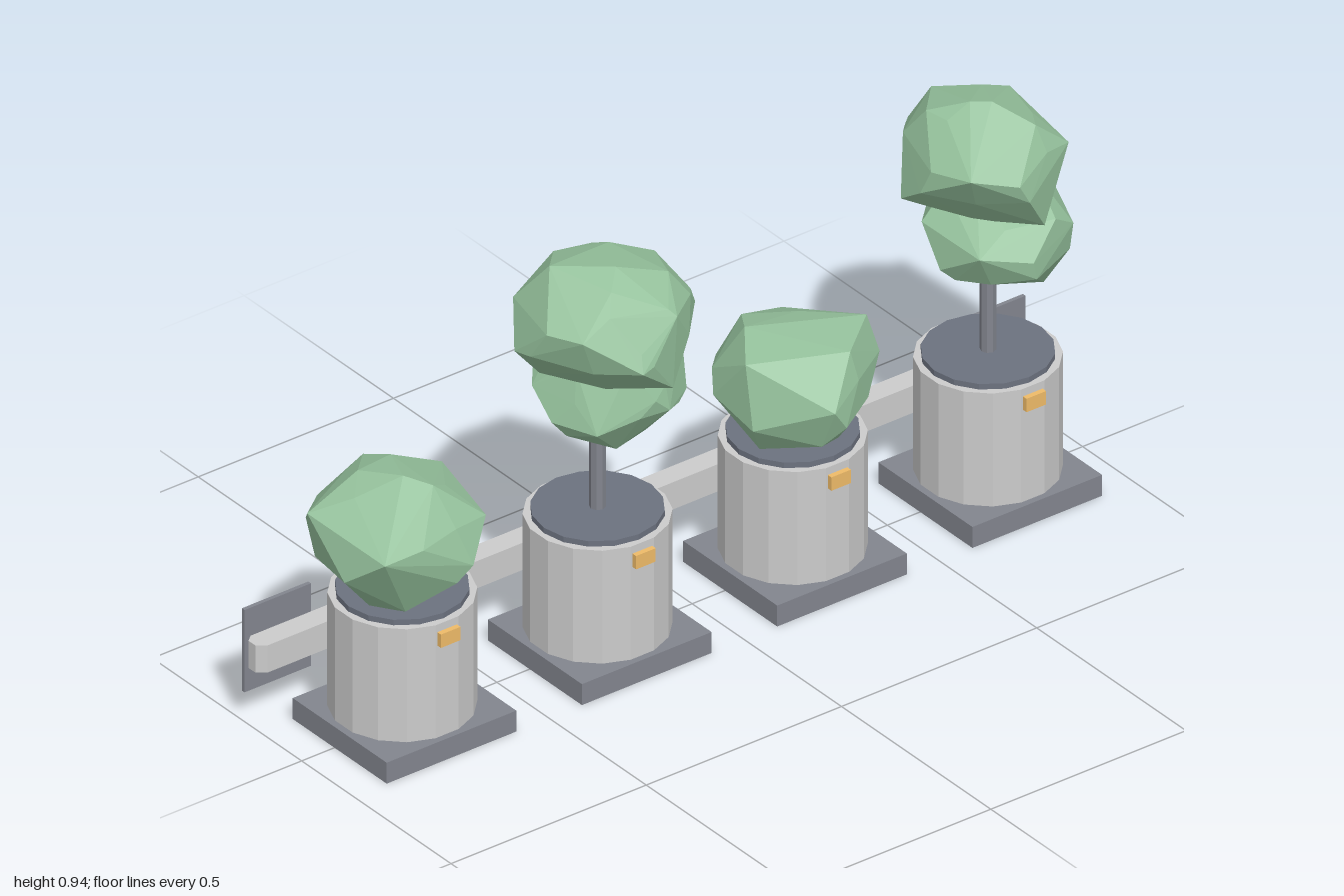
import * as THREE from 'three';
import { ConvexGeometry } from 'three/addons/geometries/ConvexGeometry.js';

const paint = (color) => new THREE.MeshStandardMaterial({ color, flatShading: true });

const mats = {
  rail: paint(0xe6e6e6),
  pot: paint(0xcccccc),
  dark: paint(0x82858e),
  soil: paint(0x6c727f),
  leaf: paint(0x94c09b),
  tag: paint(0xeebb68),
};

function add(parent, name, geometry, material, x = 0, y = 0, z = 0) {
  const mesh = new THREE.Mesh(geometry, material);
  mesh.name = name;
  mesh.position.set(x, y, z);
  parent.add(mesh);
}

// Box given by its lower and upper corners
function box(parent, name, material, [x0, y0, z0], [x1, y1, z1]) {
  const g = new THREE.BoxGeometry(x1 - x0, y1 - y0, z1 - z0);
  add(parent, name, g, material, (x0 + x1) / 2, (y0 + y1) / 2, (z0 + z1) / 2);
}

function seeded(seed) {
  let s = seed;
  return () => (s = (s * 16807) % 2147483647) / 2147483647;
}

// Faceted foliage: hull of a front outline (x, y), a level outline (x, z) and
// a side outline (z, y), staggered about the middle planes, with a rough
// spiral of points that rounds the space between them
function foliage(parent, name, seed, front, level, side) {
  const rand = seeded(seed * 7919 + 17);
  const rise = new THREE.Box2().setFromPoints(front.map(([x, y]) => new THREE.Vector2(x, y)));
  const plan = new THREE.Box2().setFromPoints(level.map(([x, z]) => new THREE.Vector2(x, z)));
  const mid = new THREE.Vector3((rise.min.x + rise.max.x) / 2, (rise.min.y + rise.max.y) / 2, (plan.min.y + plan.max.y) / 2);
  const half = new THREE.Vector3(rise.max.x, rise.max.y, plan.max.y).sub(mid);
  const stagger = (i) => (i % 2 ? 0.25 : -0.25);
  const points = [
    ...front.map(([x, y], i) => new THREE.Vector3(x, y, mid.z + stagger(i) * half.z)),
    ...level.map(([x, z], i) => new THREE.Vector3(x, mid.y + stagger(i) * half.y, z)),
    ...side.map(([z, y], i) => new THREE.Vector3(mid.x + stagger(i) * half.x, y, z)),
  ];
  const count = 26;
  for (let i = 0; i < count; i++) {
    const p = new THREE.Vector3().setFromSphericalCoords(0.86 + 0.12 * rand(), Math.acos(1 - (2 * i + 1) / count), i * 2.4);
    points.push(p.multiply(half).add(mid));
  }
  add(parent, name, new ConvexGeometry(points), mats.leaf);
}

// Rail with chamfered ends, drawn in plan and extruded upward
function railGeometry() {
  const s = new THREE.Shape();
  const end = [[0.98, 0.14], [1, 0.155], [1, 0.178], [0.985, 0.191]];
  const other = end.map(([x, y]) => [-x, y]).reverse();
  s.setFromPoints([...end, ...other].map(([x, y]) => new THREE.Vector2(x, y)));
  return new THREE.ExtrudeGeometry(s, { depth: 0.065, bevelEnabled: false }).rotateX(-Math.PI / 2);
}

function planter(x, hasTrunk) {
  const g = new THREE.Group();
  g.name = 'planter';
  g.position.x = x;
  box(g, 'plinth', mats.dark, [-0.166, 0, -0.14], [0.166, 0.05, 0.175]);
  const pot = new THREE.CylinderGeometry(0.153, 0.153, 0.27, 16).rotateY(Math.PI / 16);
  add(g, 'pot', pot, mats.pot, 0, 0.185, 0.01);
  add(g, 'soil', new THREE.CylinderGeometry(0.138, 0.138, 0.014, 16), mats.soil, 0, 0.326, 0.01);
  box(g, 'tag', mats.tag, [-0.025, 0.27, 0.155], [0.025, 0.302, 0.172]);
  box(g, 'bracket', mats.dark, [-0.07, 0.05, -0.142], [0.07, 0.235, -0.127]);
  if (hasTrunk) add(g, 'trunk', new THREE.CylinderGeometry(0.017, 0.017, 0.25, 8), mats.dark, 0, 0.455, 0.01);
  return g;
}

export function createModel() {
  const model = new THREE.Group();
  model.name = 'planterRow';

  // Four planters, every second one with a trunk
  [-0.75, -0.25, 0.25, 0.75].forEach((x, i) => model.add(planter(x, i % 2 === 1)));

  // Low bushes
  foliage(model, 'bush', 1,
    [[-0.94, 0.54], [-0.765, 0.61], [-0.595, 0.535], [-0.6, 0.41], [-0.67, 0.335], [-0.85, 0.33], [-0.92, 0.43]],
    [[-0.94, 0.065], [-0.917, -0.095], [-0.795, -0.198], [-0.687, -0.15], [-0.59, -0.015], [-0.62, 0.12], [-0.69, 0.17], [-0.905, 0.155]],
    [[-0.195, 0.47], [-0.155, 0.555], [-0.06, 0.595], [0.08, 0.595], [0.16, 0.51], [0.16, 0.4], [0.1, 0.335], [-0.1, 0.335], [-0.15, 0.385]]);
  foliage(model, 'bush', 2,
    [[0.078, 0.455], [0.09, 0.567], [0.158, 0.588], [0.4, 0.572], [0.43, 0.47], [0.4, 0.405], [0.275, 0.33], [0.126, 0.353]],
    [[0.083, 0.095], [0.104, -0.07], [0.163, -0.14], [0.36, -0.17], [0.43, -0.053], [0.415, 0.085], [0.243, 0.2]],
    [[0.205, 0.475], [0.14, 0.56], [-0.11, 0.56], [-0.165, 0.45], [-0.1, 0.34], [0.1, 0.335], [0.16, 0.375]]);

  // First tree
  foliage(model, 'lowerCrown', 3,
    [[-0.36, 0.626], [-0.334, 0.535], [-0.233, 0.48], [-0.12, 0.508], [-0.056, 0.594], [-0.04, 0.674], [-0.18, 0.716], [-0.31, 0.685]],
    [[-0.36, 0], [-0.3, -0.14], [-0.13, -0.19], [-0.045, -0.06], [-0.06, 0.06], [-0.2, 0.14], [-0.32, 0.1]],
    [[-0.19, 0.62], [-0.182, 0.705], [0.1, 0.7], [0.135, 0.59], [0.06, 0.49], [-0.1, 0.5]]);
  foliage(model, 'upperCrown', 4,
    [[-0.43, 0.75], [-0.42, 0.83], [-0.34, 0.92], [-0.243, 0.928], [-0.088, 0.86], [-0.04, 0.77], [-0.126, 0.69], [-0.26, 0.663], [-0.366, 0.674]],
    [[-0.43, 0.02], [-0.382, -0.1], [-0.265, -0.176], [-0.12, -0.16], [-0.05, -0.07], [-0.088, 0.11], [-0.254, 0.205], [-0.382, 0.134]],
    [[0.208, 0.755], [0.165, 0.855], [0.1, 0.9], [-0.09, 0.89], [-0.175, 0.78], [-0.1, 0.69], [0.08, 0.66], [0.18, 0.675]]);

  // Second tree
  foliage(model, 'lowerCrown', 5,
    [[0.64, 0.64], [0.66, 0.535], [0.794, 0.465], [0.933, 0.54], [0.965, 0.636], [0.864, 0.716], [0.7, 0.7]],
    [[0.635, 0], [0.7, -0.13], [0.87, -0.198], [0.95, -0.09], [0.965, -0.01], [0.9, 0.1], [0.77, 0.148], [0.66, 0.1]],
    [[0.148, 0.6], [0.115, 0.66], [-0.045, 0.728], [-0.172, 0.71], [-0.2, 0.6], [-0.135, 0.49], [-0.075, 0.465], [0.075, 0.49]]);
  foliage(model, 'upperCrown', 6,
    [[0.585, 0.717], [0.59, 0.824], [0.65, 0.904], [0.746, 0.935], [0.864, 0.882], [0.922, 0.77], [0.89, 0.706], [0.783, 0.665], [0.65, 0.675]],
    [[0.58, 0.005], [0.63, -0.118], [0.73, -0.208], [0.885, -0.134], [0.92, -0.015], [0.874, 0.118], [0.735, 0.17], [0.62, 0.123]],
    [[0.168, 0.81], [0.11, 0.9], [0, 0.934], [-0.13, 0.87], [-0.208, 0.795], [-0.14, 0.7], [0.03, 0.665], [0.14, 0.675]]);

  // Rail behind the row with a plate at each end
  add(model, 'rail', railGeometry(), mats.rail, 0, 0.135, 0);
  for (const s of [-1, 1]) {
    box(model, 'endPlate', mats.dark, [s * 0.915 - 0.085, 0.07, -0.2], [s * 0.915 + 0.085, 0.267, -0.191]);
  }
  return model;
}
